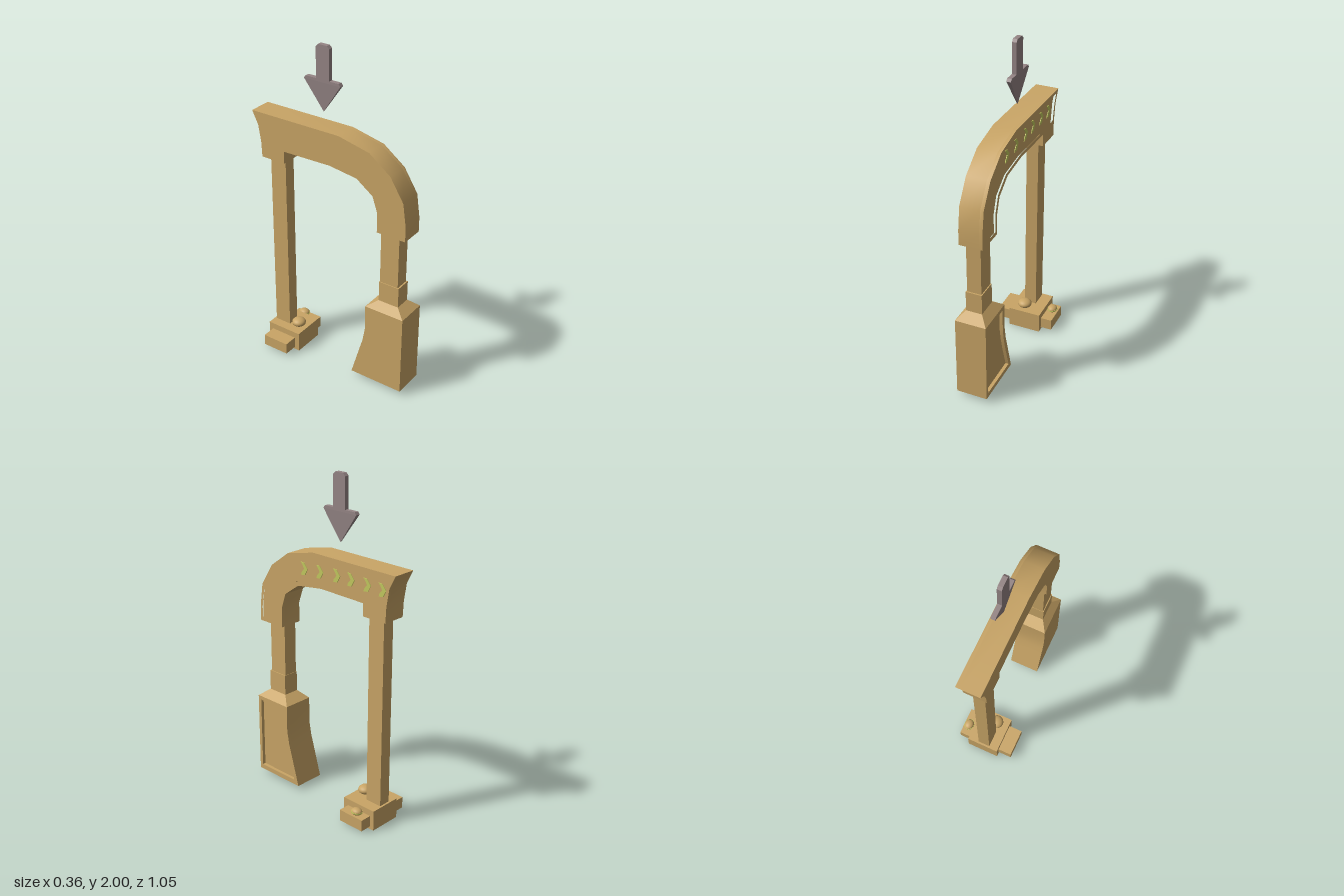
import * as THREE from 'three';
import { toCreasedNormals } from 'three/addons/utils/BufferGeometryUtils.js';

const tan = new THREE.MeshStandardMaterial({ color: 0xc9a566 });
tan.name = 'tan';
const green = new THREE.MeshStandardMaterial({ color: 0xc3c95f });
green.name = 'paleGreen';
const grey = new THREE.MeshStandardMaterial({ color: 0x958585 });
grey.name = 'warmGrey';

function add(parent, name, geometry, material = tan) {
  const mesh = new THREE.Mesh(geometry, material);
  mesh.name = name;
  parent.add(mesh);
  return mesh;
}

// Box given by its limits on each axis
function block(x0, x1, y0, y1, z0, z1) {
  return new THREE.BoxGeometry(x1 - x0, y1 - y0, z1 - z0)
    .translate((x0 + x1) / 2, (y0 + y1) / 2, (z0 + z1) / 2);
}

// Side profile of [z, y] points extruded along x from x0 to x1
function profile(points, x0, x1, hole) {
  const toVec = ([z, y]) => new THREE.Vector2(-z, y);
  const shape = new THREE.Shape(points.map(toVec));
  if (hole) shape.holes.push(new THREE.Path(hole.map(toVec)));
  const geo = new THREE.ExtrudeGeometry(shape, { depth: x1 - x0, bevelEnabled: false });
  return toCreasedNormals(geo.rotateY(Math.PI / 2).translate(x0, 0, 0), 0.6);
}

// Solid with a recessed panel on its left (+x) side
function panelled(parent, name, outer, inner, x0, floor, x1) {
  add(parent, name + 'Body', profile(outer, x0, floor));
  add(parent, name + 'Rim', profile(outer, floor, x1, inner));
}

export function createModel() {
  const model = new THREE.Group();
  model.name = 'sawFrame';

  // Curved upper beam with recessed panel
  const beam = new THREE.Group();
  beam.name = 'beam';
  model.add(beam);
  const beamOuter = [
    [0.51, 1.03], [0.51, 1.12], [0.49, 1.26], [0.405, 1.395], [0.27, 1.495], [0.07, 1.54],
    [-0.525, 1.54], [-0.485, 1.46], [-0.468, 1.36], [-0.463, 1.265], [-0.305, 1.265],
    [-0.305, 1.34], [0.01, 1.345], [0.19, 1.32], [0.295, 1.245], [0.328, 1.15], [0.328, 1.03],
  ];
  const beamInner = [
    [0.493, 1.055], [0.493, 1.12], [0.472, 1.25], [0.39, 1.378], [0.262, 1.475], [0.068, 1.52],
    [-0.492, 1.52], [-0.465, 1.45], [-0.448, 1.365], [-0.18, 1.362], [0.01, 1.368],
    [0.21, 1.338], [0.312, 1.265], [0.35, 1.16], [0.35, 1.055],
  ];
  panelled(beam, 'beam', beamOuter, beamInner, -0.069, 0.052, 0.072);

  // Painted chevrons on the panel, pointing to the rear
  const chevron = [
    [0.028, 0.038], [0.002, 0.036], [-0.024, 0.003], [-0.004, -0.034],
    [0.026, -0.038], [0.022, -0.022], [0.002, 0.002], [0.014, 0.022],
  ];
  const marks = [[0.155, 1.422], [0.033, 1.43], [-0.095, 1.438], [-0.2, 1.44], [-0.318, 1.438], [-0.425, 1.435]];
  for (const [z, y] of marks) {
    add(beam, 'chevron', profile(chevron, 0.052, 0.056), green).position.set(0, y, z);
  }

  // Front stem
  add(model, 'upperStem', block(-0.05, 0.037, 0.7, 1.04, 0.345, 0.463));
  add(model, 'lowerStem', block(-0.055, 0.043, 0.57, 0.705, 0.343, 0.472));

  // Tapered collar on top of the grip
  let collar = new THREE.BoxGeometry(1, 1, 1);
  const p = collar.attributes.position;
  for (let i = 0; i < p.count; i++) {
    const top = p.getY(i) > 0;
    const [xa, xb, za, zb] = top ? [-0.055, 0.043, 0.343, 0.472] : [-0.097, 0.092, 0.28, 0.53];
    p.setXYZ(i, p.getX(i) < 0 ? xa : xb, top ? 0.58 : 0.535, p.getZ(i) < 0 ? za : zb);
  }
  collar.computeVertexNormals();
  add(model, 'gripCollar', collar);

  // Flared grip with recessed panel
  const grip = new THREE.Group();
  grip.name = 'grip';
  model.add(grip);
  const gripOuter = [
    [0.53, 0.535], [0.53, 0.03], [0.19, 0.03], [0.24, 0.205], [0.265, 0.29], [0.28, 0.375], [0.28, 0.535],
  ];
  const gripInner = [
    [0.508, 0.51], [0.508, 0.06], [0.225, 0.06], [0.268, 0.2], [0.29, 0.285], [0.305, 0.37], [0.305, 0.51],
  ];
  panelled(grip, 'grip', gripOuter, gripInner, -0.097, 0.072, 0.092);

  // Rear post and foot
  add(model, 'rearPost', block(-0.037, 0.037, 0.12, 1.27, -0.425, -0.32));
  add(model, 'foot', block(-0.095, 0.107, 0, 0.125, -0.437, -0.208));
  add(model, 'footCrossBar', block(-0.18, 0.177, 0.015, 0.085, -0.41, -0.24));

  // Rounded knobs on the foot
  const ball = new THREE.SphereGeometry(1, 24, 16);
  const large = add(model, 'largeKnob', ball);
  large.scale.set(0.043, 0.027, 0.043);
  large.position.set(-0.015, 0.151, -0.265);
  const small = add(model, 'smallKnob', ball);
  small.scale.set(0.029, 0.021, 0.034);
  small.position.set(0.144, 0.104, -0.342);
  const ring = add(model, 'smallKnobRing', new THREE.CylinderGeometry(1, 1, 0.006, 24), green);
  ring.scale.set(0.031, 1, 0.036);
  ring.position.set(0.144, 0.103, -0.342);

  // Floating arrow, thinning toward its tip
  const arrow = profile([
    [-0.05, 2], [-0.035, 1.985], [-0.035, 1.805], [0.025, 1.805], [0.037, 1.79], [-0.08, 1.617],
    [-0.203, 1.79], [-0.192, 1.805], [-0.122, 1.805], [-0.122, 1.985], [-0.107, 2],
  ], -0.005, 0.022);
  const a = arrow.attributes.position;
  for (let i = 0; i < a.count; i++) {
    if (a.getY(i) < 1.7) a.setX(i, 0.0085 + (a.getX(i) - 0.0085) * 0.15);
  }
  arrow.computeVertexNormals();
  add(model, 'downArrow', arrow, grey);

  return model;
}
